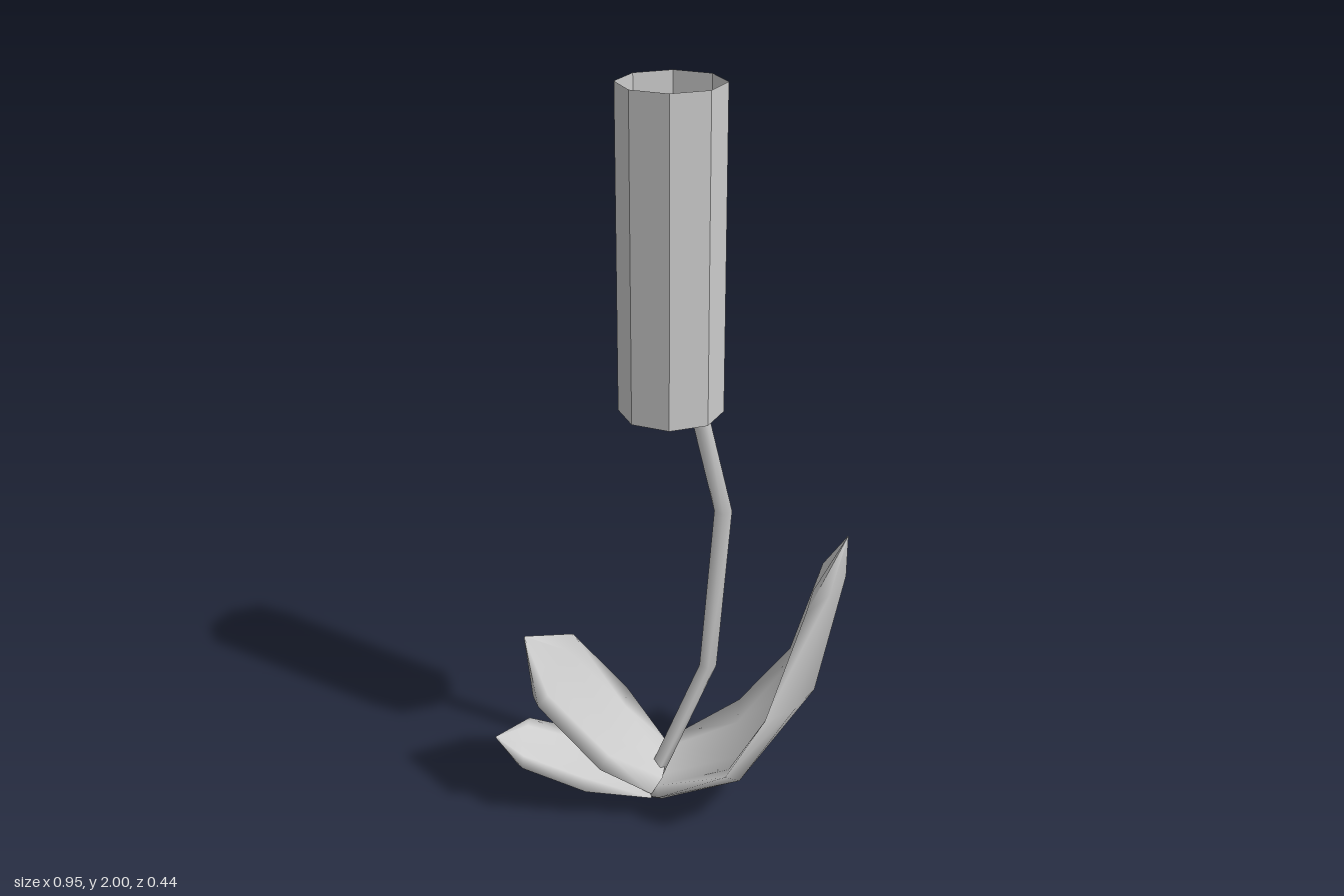
import * as THREE from 'three';

const V = (p) => new THREE.Vector3(...p);
const grey = { color: 0xcccccc };

// Closed skin over rings of points; rings run counter-clockwise seen from the growing end
function loft(rings) {
  const n = rings[0].length;
  const pos = [], index = [];
  rings.forEach((ring) => ring.forEach((p) => pos.push(p.x, p.y, p.z)));
  for (let i = 0; i < rings.length - 1; i++) {
    for (let j = 0; j < n; j++) {
      const k = (j + 1) % n, a = i * n, b = a + n;
      index.push(a + j, a + k, b + k, a + j, b + k, b + j);
    }
  }
  // End caps
  const last = (rings.length - 1) * n;
  for (let j = 1; j < n - 1; j++) {
    index.push(0, j + 1, j, last, last + j, last + j + 1);
  }
  const g = new THREE.BufferGeometry();
  g.setAttribute('position', new THREE.Float32BufferAttribute(pos, 3));
  g.setIndex(index);
  g.computeVertexNormals();
  return g;
}

// Cupped leaf: each row gives one rim, the outer middle and the other rim
function leaf(name, rows, tip, thickness) {
  const mids = [...rows.map((r) => V(r[1])), V(tip)];
  const rings = rows.map((row, i) => {
    const [a, m, b] = row.map(V);
    const along = mids[i + 1].clone().sub(mids[Math.max(i - 1, 0)]);
    const inward = a.clone().sub(b).cross(along).normalize();
    // Parabola through the three points
    const at = (u) => new THREE.Vector3()
      .addScaledVector(a, (1 - u) * (1 - 2 * u))
      .addScaledVector(m, 4 * u * (1 - u))
      .addScaledVector(b, u * (2 * u - 1));
    const outer = [0.2, 0.5, 0.8].map(at);
    const inner = outer.map((p) => p.clone().addScaledVector(inward, thickness)).reverse();
    return [a, ...outer, b, ...inner];
  });
  // Narrow the last ring to the tip
  rings.push(rings[rings.length - 1].map((p) => V(tip).lerp(p, 0.03)));
  const mesh = new THREE.Mesh(loft(rings), new THREE.MeshStandardMaterial(grey));
  mesh.name = name;
  return mesh;
}

export function createModel() {
  const group = new THREE.Group();
  group.name = 'plant';

  // Open eight-sided flower head
  const head = new THREE.Mesh(
    new THREE.CylinderGeometry(0.135, 0.135, 0.835, 8, 1, true),
    new THREE.MeshStandardMaterial({ ...grey, flatShading: true, side: THREE.DoubleSide })
  );
  head.name = 'flowerHead';
  head.position.set(0.008, 1.5825, -0.066);
  group.add(head);

  // Kinked stem that ends inside the head
  const path = [[-0.035, 0.08, -0.02], [0.11, 0.42, -0.055], [0.145, 0.91, -0.01], [0.05, 1.3, -0.045]];
  const stemRings = path.map((p) => [0, 1, 2, 3].map((k) => {
    const t = k * Math.PI / 2;
    return V(p).add(new THREE.Vector3(0.023 * Math.cos(t), 0, -0.023 * Math.sin(t)));
  }));
  const stem = new THREE.Mesh(loft(stemRings), new THREE.MeshStandardMaterial(grey));
  stem.name = 'stem';
  group.add(stem);

  // Large leaf growing to +x
  group.add(leaf('largeLeaf', [
    [[-0.085, 0.03, 0.00], [-0.11, 0.005, -0.05], [-0.08, 0.02, -0.11]],
    [[-0.02, 0.09, 0.10], [0.00, 0.00, -0.08], [0.03, 0.10, -0.21]],
    [[0.16, 0.23, 0.20], [0.23, 0.105, -0.03], [0.20, 0.21, -0.215]],
    [[0.26, 0.42, 0.22], [0.40, 0.37, -0.02], [0.34, 0.38, -0.22]],
    [[0.36, 0.69, 0.13], [0.472, 0.71, -0.04], [0.42, 0.65, -0.20]],
  ], [0.472, 0.835, -0.03], 0.045));

  // Two smaller leaves growing to -x
  group.add(leaf('upperSmallLeaf', [
    [[-0.02, 0.12, -0.15], [-0.03, 0.07, -0.04], [-0.04, 0.08, 0.07]],
    [[-0.12, 0.26, -0.19], [-0.19, 0.17, -0.06], [-0.18, 0.16, 0.075]],
    [[-0.26, 0.49, -0.09], [-0.35, 0.42, 0.02], [-0.335, 0.40, 0.14]],
  ], [-0.38, 0.55, 0.03], 0.05));
  group.add(leaf('lowerSmallLeaf', [
    [[-0.03, 0.09, -0.12], [-0.04, 0.06, -0.03], [-0.04, 0.07, 0.075]],
    [[-0.25, 0.14, -0.155], [-0.26, 0.075, -0.04], [-0.22, 0.09, 0.08]],
    [[-0.39, 0.21, -0.1], [-0.42, 0.165, 0.0], [-0.39, 0.17, 0.09]],
  ], [-0.475, 0.21, 0], 0.035));

  return group;
}
